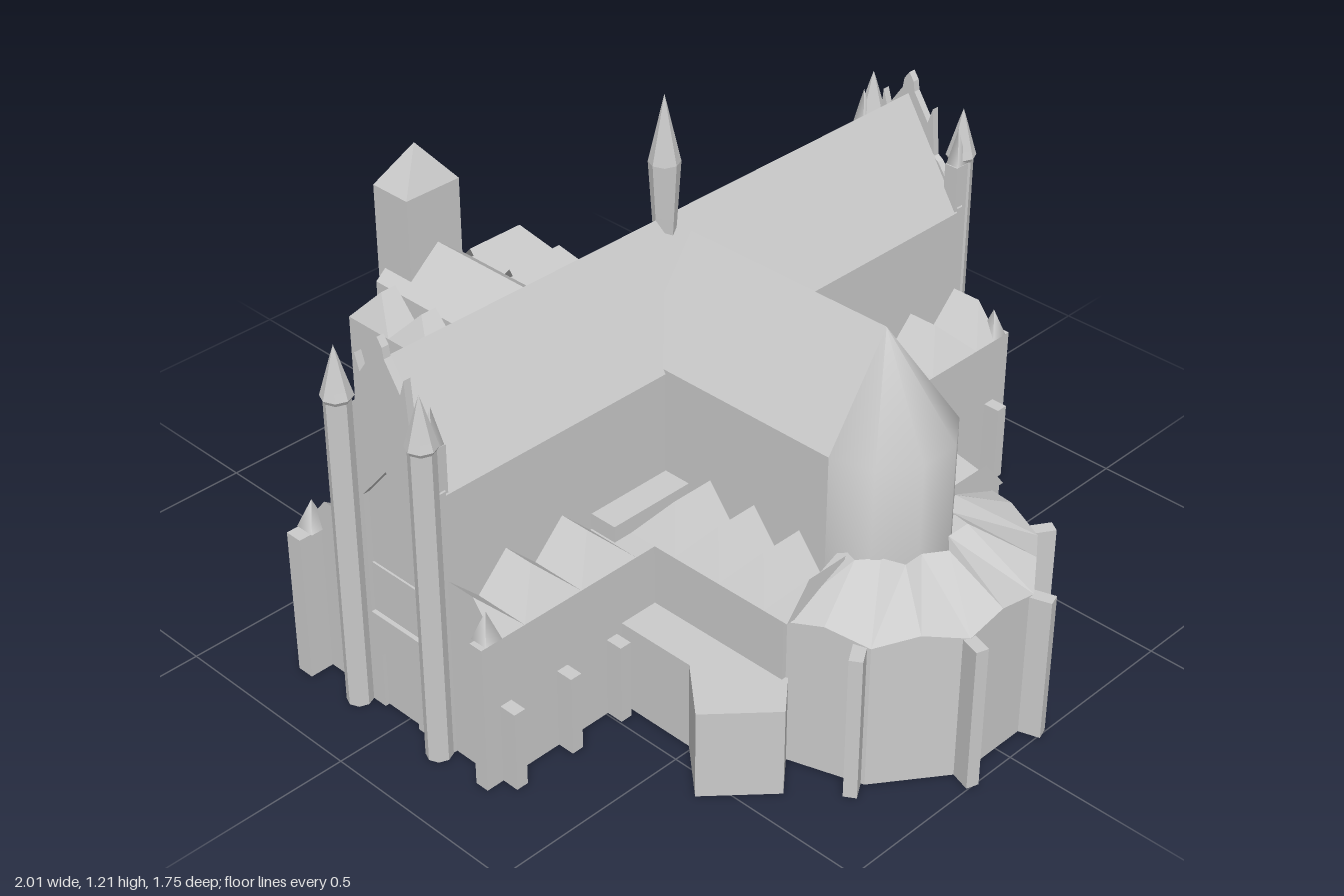
import * as THREE from 'three';

const mat = new THREE.MeshStandardMaterial({ color: 0xcccccc });
const thin = new THREE.MeshStandardMaterial({ color: 0xcccccc, side: THREE.DoubleSide });
const CX = -0.015; // transept axis
const CZ = 0.01;   // choir axis

export function createModel() {
  const root = new THREE.Group();

  const add = (name, geo, m = mat, parent = root) => {
    const mesh = new THREE.Mesh(geo, m);
    mesh.name = name;
    parent.add(mesh);
    return mesh;
  };
  // box from its bounds
  const block = (name, x0, x1, y0, y1, z0, z1, parent = root) => {
    const mesh = add(name, new THREE.BoxGeometry(x1 - x0, y1 - y0, z1 - z0), mat, parent);
    mesh.position.set((x0 + x1) / 2, (y0 + y1) / 2, (z0 + z1) / 2);
    return mesh;
  };
  const outline = (pts) => new THREE.Shape(pts.map(([x, y]) => new THREE.Vector2(x, y)));
  const extrude = (shape, depth) => new THREE.ExtrudeGeometry(shape, { depth, bevelEnabled: false });
  // upright prism over a plan given as [x, z]
  const prism = (name, plan, y0, y1) => {
    const geo = extrude(outline(plan.map(([x, z]) => [x, -z])), y1 - y0);
    geo.rotateX(-Math.PI / 2).translate(0, y0, 0);
    return add(name, geo);
  };
  // house-shaped cross-section: half width, eave and ridge heights
  const house = (w, eave, ridge) => outline([[-w, 0], [w, 0], [w, eave], [0, ridge], [-w, eave]]);
  // flat faces from corner loops (3 or 4 corners each)
  const facets = (name, loops, parent = root) => {
    const p = [];
    for (const l of loops)
      for (let i = 1; i < l.length - 1; i++) p.push(...l[0], ...l[i], ...l[i + 1]);
    const geo = new THREE.BufferGeometry();
    geo.setAttribute('position', new THREE.Float32BufferAttribute(p, 3));
    geo.computeVertexNormals();
    return add(name, geo, thin, parent);
  };
  // row of hipped cross gables along x, facing +z; halves = half gables, peak = first edge is a ridge
  const sawRoof = (len, halves, depth, inset, firstPeak = false, parent = root) => {
    const y0 = 0.37, y1 = 0.45, step = len / halves, loops = [];
    const isPeak = (i) => (i % 2 === 0) === firstPeak;
    const inner = (i) => [i * step, isPeak(i) ? y1 : y0, 0];
    const outer = (i) => [i * step, isPeak(i) ? y1 : y0, isPeak(i) ? depth - inset : depth];
    const foot = (i) => [i * step, y0, depth];
    for (let i = 0; i < halves; i++) {
      loops.push([inner(i), outer(i), outer(i + 1), inner(i + 1)]);
      loops.push(isPeak(i) ? [outer(i), foot(i), foot(i + 1)] : [outer(i + 1), foot(i), foot(i + 1)]);
    }
    for (const i of [0, halves])
      if (isPeak(i)) loops.push([[i * step, y0, 0], foot(i), outer(i), inner(i)]);
    return facets('aisleGableRoof', loops, parent);
  };

  // transept
  const transept = extrude(house(0.165, 0.66, 0.915), 1.6);
  add('transept', transept.translate(CX, 0, -0.8));
  block('crossingAisles', -0.25, 0.22, 0, 0.41, -0.4, 0.4);

  // transept arms: aisles, facade and turrets, same at both ends
  for (const s of [1, -1]) {
    const arm = new THREE.Group();
    arm.name = s > 0 ? 'frontArm' : 'backArm';
    arm.scale.z = s;
    root.add(arm);
    block('transeptAisles', -0.31, 0.29, 0, 0.37, 0.35, 0.805, arm);

    const east = sawRoof(0.4, 5, 0.14, 0.065, true, arm);
    east.rotation.y = Math.PI / 2;
    east.position.set(0.15, 0, 0.805);
    const west = sawRoof(0.4, 5, 0.13, 0.065, false, arm);
    west.rotation.y = -Math.PI / 2;
    west.position.set(-0.18, 0, 0.405);

    // gabled facade with pointed window and door
    const half = [[0.165, 0], [0.165, 0.67], [0.115, 0.75], [0.1, 0.77], [0.085, 0.78], [0.075, 0.9],
      [0.062, 0.86], [0.035, 0.9], [0.018, 0.925], [0.014, 0.95]];
    const door = [[-0.055, 0], [-0.055, 0.14], [0, 0.195], [0.055, 0.14], [0.055, 0]];
    const mirrored = half.map(([x, y]) => [-x, y]);
    const face = outline([...half, [0, 0.97], ...mirrored.reverse(), ...door]);
    face.holes.push(new THREE.Path([[-0.08, 0.245], [-0.08, 0.55], [0, 0.645], [0.08, 0.55], [0.08, 0.245]]
      .map(([x, y]) => new THREE.Vector2(x, y))));
    add('facade', extrude(face, 0.018), mat, arm).position.set(CX, 0, 0.798);

    // octagonal turrets with spirelets, each with a slim companion
    for (const x of s > 0 ? [-0.13, 0.13] : [-0.155, 0.12]) {
      const turret = [[0, 0], [0.03, 0], [0.03, 0.78], [0.036, 0.79], [0.03, 0.81], [0.008, 0.885], [0, 0.91]];
      const geo = new THREE.LatheGeometry(turret.map(([r, y]) => new THREE.Vector2(r, y)), 8).toNonIndexed();
      geo.computeVertexNormals();
      add('turret', geo, mat, arm).position.set(x, 0, 0.837);
      const side = x < 0 ? -1 : 1;
      const sx = CX + side * 0.145;
      block('slimPier', sx - 0.018, sx + 0.018, 0, 0.78, 0.79, 0.83, arm);
      const tip = add('slimPierTip', new THREE.ConeGeometry(0.024, 0.09, 4).rotateY(Math.PI / 4), mat, arm);
      tip.position.set(sx, 0.825, 0.81);
    }
    // corner buttresses
    block('cornerButtress', -0.305, -0.262, 0, 0.37, 0.8, 0.865, arm);
    block('cornerButtress', 0.255, 0.29, 0, 0.37, 0.8, 0.845, arm);
    for (const [x, w] of [[-0.283, 0.05], [0.268, 0.045]]) {
      const cap = add('cornerPinnacle', new THREE.ConeGeometry(w * 0.7, 0.07, 4).rotateY(Math.PI / 4), mat, arm);
      cap.position.set(x, 0.405, 0.81);
    }
    // low buttresses on the side walls
    for (const z of [0.48, 0.625, 0.785]) {
      if (z > 0.5 || s < 0) block('lowButtress', -0.347, -0.3, 0, 0.2, z - 0.015, z + 0.015, arm);
      if (s > 0 || z > 0.7) block('lowButtress', 0.28, 0.332, 0, 0.2, z - 0.015, z + 0.015, arm);
    }
  }

  // nave with unequal aisles
  const nave = extrude(house(0.12, 0.43, 0.53), 0.75);
  add('nave', nave.rotateY(Math.PI / 2).translate(-0.885, 0, 0));
  block('naveAisles', -0.885, -0.2, 0, 0.37, -0.35, 0.21);
  const southNave = sawRoof(0.58, 8, 0.09, 0.045);
  southNave.position.set(-0.885, 0, 0.12);
  const northNave = sawRoof(0.64, 9, 0.23, 0.065, true);
  northNave.rotation.y = Math.PI;
  northNave.position.set(-0.245, 0, -0.12);
  for (const x of [-0.7, -0.57, -0.43]) block('lowButtress', x - 0.012, x + 0.012, 0, 0.2, -0.4, -0.34);

  // rising roof where the nave meets the transept
  const rise = [];
  for (const s of [1, -1]) {
    const a = [-0.31, 0.43, s * 0.12], b = [-0.31, 0.53, 0], c = [-0.17, 0.67, 0], d = [-0.17, 0.43, s * 0.12];
    rise.push(s > 0 ? [a, d, c, b] : [b, c, d, a]);
  }
  facets('naveRoofRise', rise);

  // west tower and its porch with a sloping top
  block('westTower', -0.91, -0.79, 0, 0.675, -0.075, 0.09);
  const cap = new THREE.ConeGeometry(Math.SQRT1_2, 0.105, 4).rotateY(Math.PI / 4).toNonIndexed();
  cap.computeVertexNormals();
  const towerRoof = add('towerRoof', cap);
  towerRoof.scale.set(0.12, 1, 0.165);
  towerRoof.position.set(-0.85, 0.7275, 0.0075);
  const porch = outline([[-1, 0], [-0.88, 0], [-0.88, 0.295], [-1, 0.2]]);
  add('westPorch', extrude(porch, 0.165).translate(0, 0, -0.075));

  // choir with rounded hipped end
  const choir = extrude(house(0.165, 0.67, 0.91), 0.55);
  add('choir', choir.rotateY(Math.PI / 2).translate(0.065, 0, CZ));
  const apse = [[0.165, 0.36], [0.165, 0.67], [0, 0.91]].map(([r, y]) => new THREE.Vector2(r, y));
  add('choirApse', new THREE.LatheGeometry(apse, 5, 0, Math.PI), thin).position.set(0.615, 0, CZ);
  block('choirAisles', 0.2, 0.66, 0, 0.37, -0.35, 0.35);
  const southChoir = sawRoof(0.45, 7, 0.175, 0.065);
  southChoir.position.set(0.22, 0, 0.175);
  const northChoir = sawRoof(0.45, 7, 0.195, 0.065, true);
  northChoir.rotation.y = Math.PI;
  northChoir.position.set(0.67, 0, -0.155);

  // polygonal ambulatory with folded roof and radial buttresses
  const AX = 0.64, R = 0.335;
  const at = (deg, r) => {
    const t = THREE.MathUtils.degToRad(deg);
    return [AX + r * Math.cos(t), CZ + r * Math.sin(t)];
  };
  const lift = ([x, z], y) => [x, y, z];
  const corners = [-90, -54, -18, 18, 54, 90];
  prism('ambulatory', corners.map((d) => at(d, R)), 0, 0.36);
  const folds = [];
  for (const d of corners.slice(0, -1)) {
    const m = d + 18, e = d + 36;
    const mid = lift(at(m, R * Math.cos(Math.PI / 10)), 0.38);
    const i0 = lift(at(d, 0.14), 0.445), i1 = lift(at(e, 0.14), 0.445), im = lift(at(m, 0.17), 0.45);
    const o0 = lift(at(d, R), 0.36), o1 = lift(at(e, R), 0.36);
    folds.push([i0, im, mid, o0], [im, i1, o1, mid], [o0, mid, o1]);
  }
  facets('ambulatoryRoof', folds);
  for (const d of [-58, -18, 18, 58]) {
    const b = add('ambulatoryButtress', new THREE.BoxGeometry(0.07, 0.36, 0.03));
    const [x, z] = at(d, 0.345);
    b.position.set(x, 0.18, z);
    b.rotation.y = -THREE.MathUtils.degToRad(d);
  }

  // low annex at the front of the choir
  prism('annex', [[0.28, 0.33], [0.28, 0.45], [0.49, 0.45], [0.61, 0.555], [0.735, 0.42], [0.66, 0.33]], 0, 0.22);

  // ridge spire over the crossing
  const spire = [[0.024, 0.86], [0.028, 0.92], [0.036, 1.05], [0, 1.21]].map(([r, y]) => new THREE.Vector2(r, y));
  const spireGeo = new THREE.LatheGeometry(spire, 8).toNonIndexed();
  spireGeo.computeVertexNormals();
  add('crossingSpire', spireGeo).position.set(CX, 0, CZ);

  return root;
}
